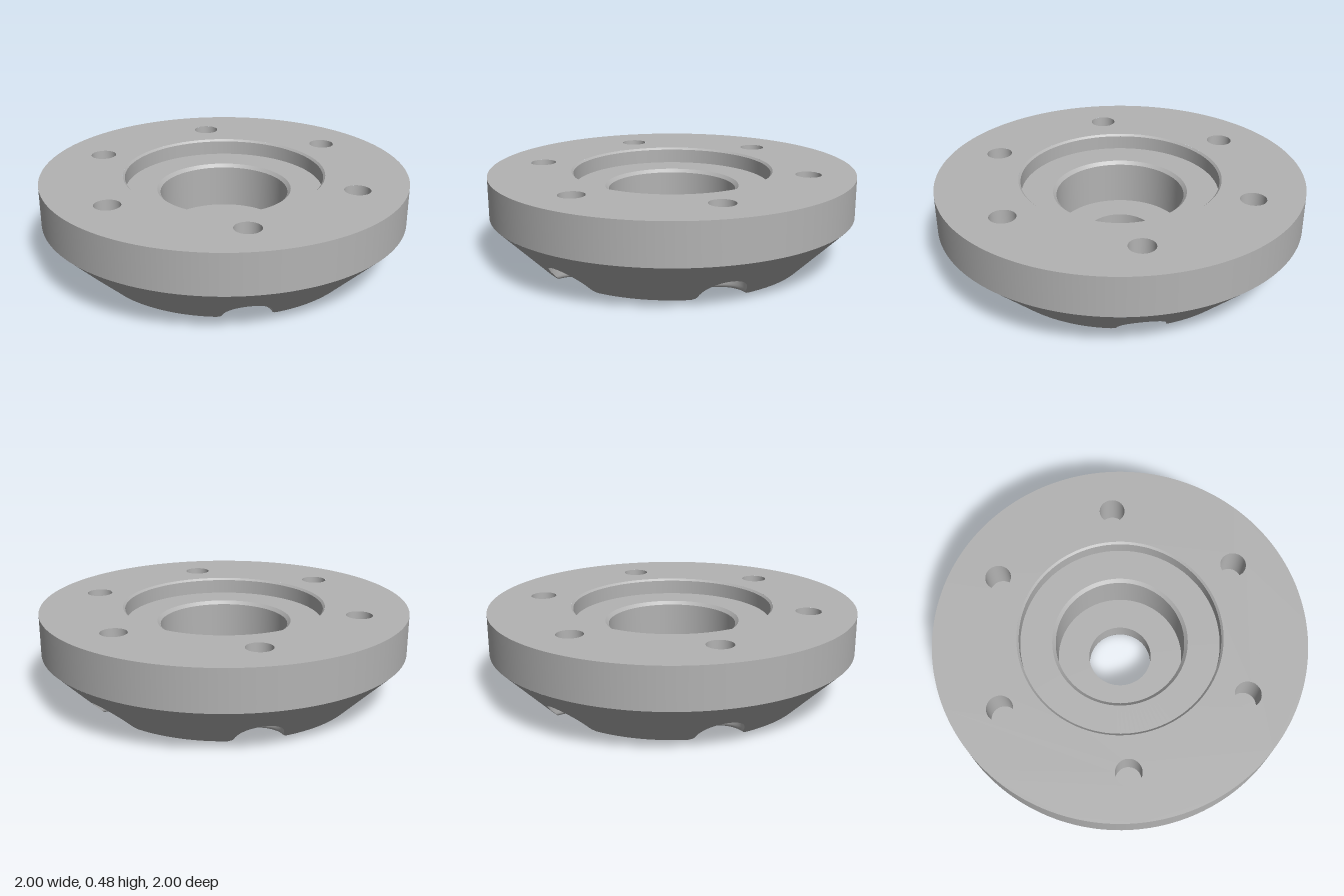
import * as THREE from 'three';

const SEG = 128;
const RIM_Y = 0.26, TOP_Y = 0.48, BASE_R = 0.74;      // 45 degree cone from BASE_R up to radius 1
const BOLT_R = 0.745, HOLE_R = 0.07, HOLE_Y = 0.28;   // bolt circle and blind holes
const POCKET_R = 0.125, POCKET_Y = 0.18, FILLET = 0.025;
const BORE_R = 0.175, BORE_FILLET = 0.03;

const polar = (r, a, y = 0) => new THREE.Vector3(r * Math.sin(a), y, r * Math.cos(a));

// Point on a pocket wall, around the bolt position on +z, flaring at the bottom edge
function pocketPoint(psi, y) {
  const k = Math.max(0, (FILLET - y) / FILLET);
  const p = polar(POCKET_R + FILLET * (1 - Math.sqrt(1 - k * k)), psi, y);
  p.z += BOLT_R;
  return p;
}

// Lowest point of the wall that still lies inside the cone
function pocketLowY(psi) {
  const outside = y => { const p = pocketPoint(psi, y); return Math.hypot(p.x, p.z) > BASE_R + y; };
  if (!outside(0)) return 0;
  let lo = 0, hi = POCKET_Y;
  for (let i = 0; i < 40; i++) {
    const m = (lo + hi) / 2;
    if (outside(m)) lo = m; else hi = m;
  }
  return hi;
}

// Smooth surface through columns of points
function gridGeometry(cols, closed) {
  const n = cols.length, m = cols[0].length, index = [];
  for (let i = 0; i < (closed ? n : n - 1); i++) {
    const k = (i + 1) % n;
    for (let j = 0; j < m - 1; j++) {
      const a = i * m + j, b = k * m + j;
      index.push(a, b, b + 1, a, b + 1, a + 1);
    }
  }
  const g = new THREE.BufferGeometry().setFromPoints(cols.flat());
  g.setIndex(index);
  g.computeVertexNormals();
  return g;
}

export function createModel() {
  const group = new THREE.Group();
  const metal = new THREE.MeshStandardMaterial({ color: 0xb3b3b3 });
  metal.name = 'grey metal';

  const add = (name, geometry, parent = group) => {
    const mesh = new THREE.Mesh(geometry, metal);
    mesh.name = name;
    parent.add(mesh);
    return mesh;
  };
  const turned = (name, pts, parent, seg = SEG) =>
    add(name, new THREE.LatheGeometry(pts.map(p => new THREE.Vector2(...p)), seg), parent);

  // Turned surfaces, one per band so that the edges stay sharp
  turned('flangeEdge', [[1, RIM_Y], [1, TOP_Y]]);
  turned('recessChamfer', [[0.552, TOP_Y], [0.541, 0.469]]);
  turned('recessWall', [[0.541, 0.469], [0.541, 0.39]]);
  turned('recessFloor', [[0.541, 0.39], [0.368, 0.39]]);
  turned('counterboreChamfer', [[0.368, 0.39], [0.35, 0.372]]);
  turned('counterboreWall', [[0.35, 0.372], [0.35, 0.135]]);
  turned('counterboreFloor', [[0.35, 0.135], [BORE_R, 0.135]]);
  turned('boreWall', [[BORE_R, 0.135], [BORE_R, BORE_FILLET]]);
  const lip = [];
  for (let i = 0; i <= 8; i++) {
    const a = i / 8 * Math.PI / 2;
    lip.push([BORE_R + BORE_FILLET * (1 - Math.cos(a)), BORE_FILLET * (1 - Math.sin(a))]);
  }
  turned('boreLip', lip);

  // Top face with the recess and bolt holes left open
  const top = new THREE.Shape().absarc(0, 0, 1, 0, Math.PI * 2);
  top.holes.push(new THREE.Path().absarc(0, 0, 0.552, 0, Math.PI * 2, true));
  for (let k = 0; k < 6; k++) {
    const p = polar(BOLT_R, k * Math.PI / 3);
    top.holes.push(new THREE.Path().absarc(p.x, p.z, HOLE_R, 0, Math.PI * 2, true));
  }
  add('topFace', new THREE.ShapeGeometry(top, SEG).rotateX(-Math.PI / 2).translate(0, TOP_Y, 0));

  // Where each pocket crosses the edge of the bottom face
  const flare = POCKET_R + FILLET;
  const psi0 = Math.acos((BASE_R ** 2 - BOLT_R ** 2 - flare ** 2) / (2 * BOLT_R * flare));
  const start = pocketPoint(psi0, 0);
  const halfAngle = Math.atan2(start.x, start.z);

  // Scalloped cone and bottom face share the same edge
  const up = new THREE.Vector3(0, 1, 0);
  const coneEdge = [], baseEdge = [];
  for (let k = 0; k < 6; k++) {
    const turn = k * Math.PI / 3;
    for (let i = 0; i <= 40; i++) {
      const psi = -psi0 + 2 * psi0 * i / 40;
      coneEdge.push(pocketPoint(psi, pocketLowY(psi)).applyAxisAngle(up, turn));
      const back = -psi0 - (2 * Math.PI - 2 * psi0) * i / 40;
      baseEdge.push(pocketPoint(back, 0).applyAxisAngle(up, turn));
    }
    for (let i = 1; i < 16; i++) {
      const p = polar(BASE_R, turn + halfAngle + (Math.PI / 3 - 2 * halfAngle) * i / 16);
      coneEdge.push(p);
      baseEdge.push(p);
    }
  }
  add('cone', gridGeometry(coneEdge.map(p => [p, polar(1, Math.atan2(p.x, p.z), RIM_Y)]), true));

  const base = new THREE.Shape(baseEdge.map(p => new THREE.Vector2(p.x, p.z)));
  base.holes.push(new THREE.Path().absarc(0, 0, BORE_R + BORE_FILLET, 0, Math.PI * 2, true));
  add('bottomFace', new THREE.ShapeGeometry(base, SEG).rotateX(Math.PI / 2));

  // Pocket wall, clipped by the cone
  const wall = [];
  for (let i = 0; i < 96; i++) {
    const psi = -i / 96 * Math.PI * 2, low = pocketLowY(psi), col = [];
    for (let j = 0; j <= 14; j++) col.push(pocketPoint(psi, low + (POCKET_Y - low) * (j / 14) ** 2));
    wall.push(col);
  }
  const wallGeometry = gridGeometry(wall, true);

  // Six bolt positions: blind hole above, open pocket below
  for (let k = 0; k < 6; k++) {
    const bolt = new THREE.Group();
    bolt.name = 'boltPosition';
    bolt.rotation.y = k * Math.PI / 3;
    group.add(bolt);
    add('pocketWall', wallGeometry, bolt);
    const parts = [
      turned('pocketCeiling', [[0, POCKET_Y], [POCKET_R, POCKET_Y]], bolt, 96),
      turned('holeWall', [[HOLE_R, TOP_Y], [HOLE_R, HOLE_Y]], bolt, 64),
      turned('holeFloor', [[HOLE_R, HOLE_Y], [0, HOLE_Y]], bolt, 64),
    ];
    parts.forEach(p => { p.position.z = BOLT_R; });
  }
  return group;
}
